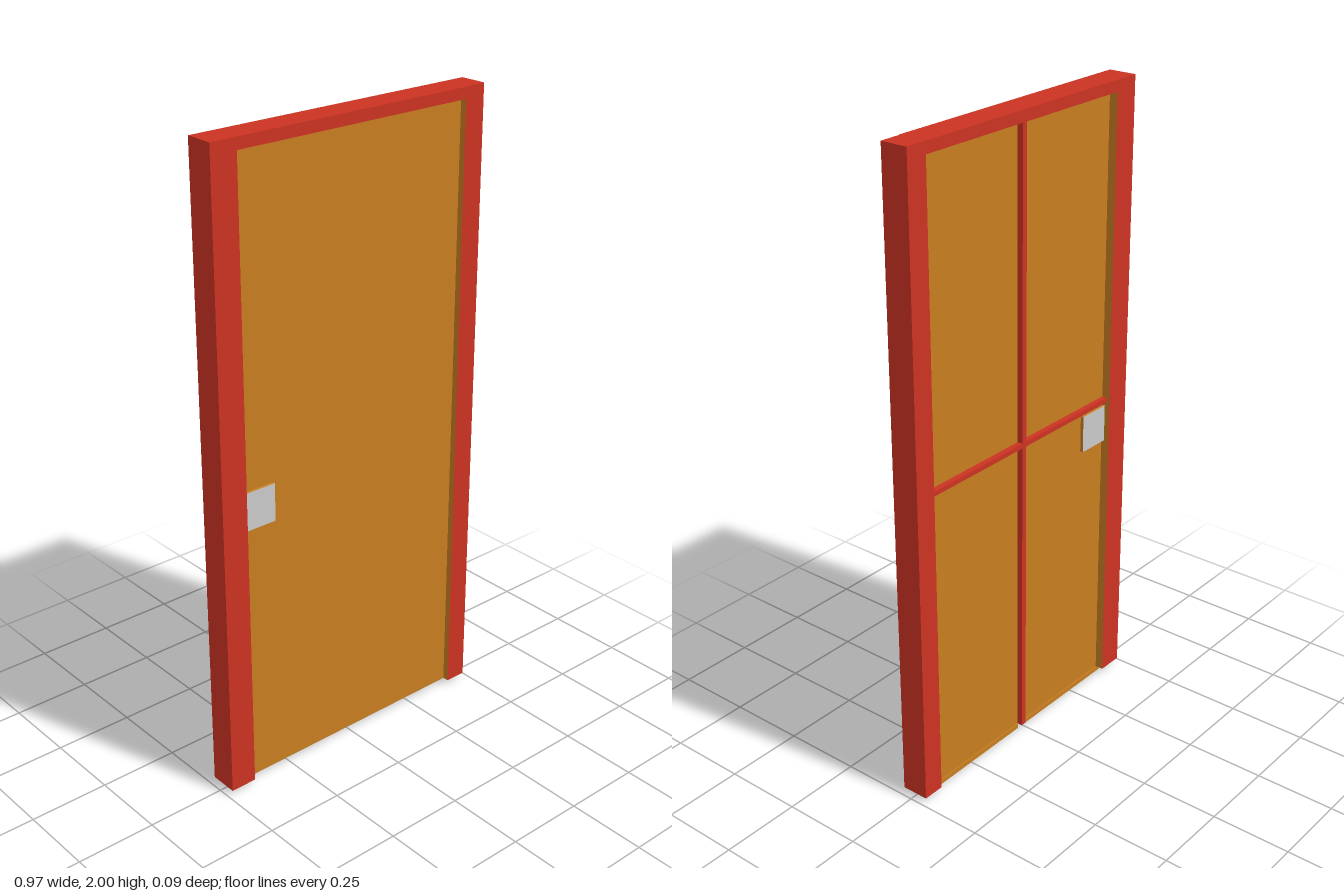
import * as THREE from 'three';

export function createModel() {
  const model = new THREE.Group();
  model.name = 'framedDoor';

  const mat = (name, color) => {
    const m = new THREE.MeshStandardMaterial({ color });
    m.name = name;
    return m;
  };
  const red = mat('frame red', 0xcc3322);
  const ochre = mat('door ochre', 0xc87d20);
  const grey = mat('lock grey', 0xcacaca);

  // Box between two corners; materials may be one or six (+x -x +y -y +z -z)
  const block = (name, [x0, y0, z0], [x1, y1, z1], material) => {
    const mesh = new THREE.Mesh(new THREE.BoxGeometry(x1 - x0, y1 - y0, z1 - z0), material);
    mesh.position.set((x0 + x1) / 2, (y0 + y1) / 2, (z0 + z1) / 2);
    mesh.name = name;
    model.add(mesh);
  };

  const back = -0.047, front = 0.043, base = 0.015;

  // Frame: red outside, ochre on the inner jamb and the feet
  block('rightPost', [-0.485, base, back], [-0.4, 2, front], [ochre, red, red, ochre, red, red]);
  block('leftPost', [0.415, base, back], [0.485, 2, 0.04], [red, ochre, red, ochre, red, red]);
  block('lintel', [-0.4, 1.965, back], [0.415, 2, front], [red, red, red, ochre, red, red]);

  // Door leaf, set back from both faces of the frame
  block('doorLeaf', [-0.4, base, -0.02], [0.415, 1.965, 0.02], ochre);

  // Low sill strips under the leaf, parted in the middle
  block('rightSill', [-0.41, 0, -0.024], [0, base, -0.008], ochre);
  block('leftSill', [0.02, 0, -0.024], [0.425, base, -0.008], ochre);

  // Crossing bars on the back of the leaf
  block('uprightBar', [0, base, -0.038], [0.018, 1.965, -0.02], red);
  block('crossBar', [-0.4, 0.995, -0.038], [0.415, 1.01, -0.02], red);

  // Lock plate passing through the leaf, shown on both sides
  block('lockPlate', [-0.4, 0.862, -0.03], [-0.29, 0.982, 0.03],
    [ochre, ochre, ochre, ochre, grey, grey]);

  return model;
}
